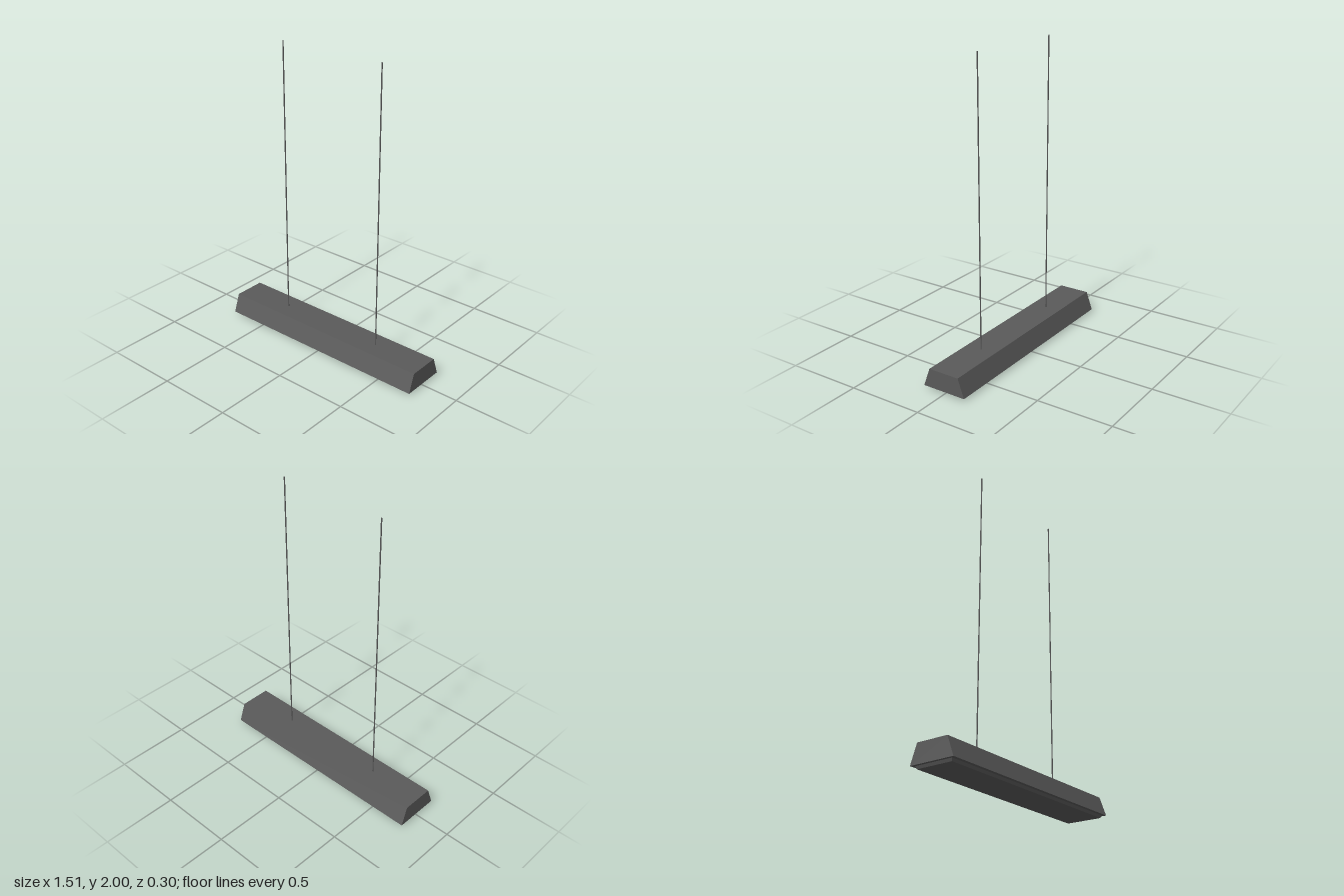
import * as THREE from 'three';

// Extrudes a z/y outline along x, centred on x = 0
function prism(points, length) {
  const shape = new THREE.Shape(points.map(([z, y]) => new THREE.Vector2(-z, y)));
  const geometry = new THREE.ExtrudeGeometry(shape, { depth: length, bevelEnabled: false });
  geometry.translate(0, 0, -length / 2);
  geometry.rotateY(Math.PI / 2);
  return geometry;
}

// Box whose underside is drawn in by an inset on all four sides
function taperedPanel(width, height, depth, inset) {
  const geometry = new THREE.BoxGeometry(width, height, depth);
  const p = geometry.attributes.position;
  for (let i = 0; i < p.count; i++) {
    if (p.getY(i) < 0) {
      p.setX(i, p.getX(i) - Math.sign(p.getX(i)) * inset);
      p.setZ(i, p.getZ(i) - Math.sign(p.getZ(i)) * inset);
    }
  }
  geometry.computeVertexNormals();
  return geometry;
}

export function createModel() {
  const group = new THREE.Group();
  const metal = new THREE.MeshStandardMaterial({ color: 0x5a5a5a });
  metal.name = 'darkGreyMetal';

  const add = (name, geometry, x, y, z) => {
    const mesh = new THREE.Mesh(geometry, metal);
    mesh.name = name;
    mesh.position.set(x, y, z);
    group.add(mesh);
  };

  // Long lamp housing with sloping front and back
  add('housing', prism([[-0.15, 0.017], [-0.106, 0.14], [0.106, 0.14], [0.15, 0.017]], 1.51), 0, 0, 0);

  // Shallow light panel below the housing
  add('lightPanel', taperedPanel(1.475, 0.017, 0.256, 0.007), 0, 0.0085, 0);

  // Two thin suspension rods
  for (const side of [-1, 1]) {
    const name = side < 0 ? 'rightSuspensionRod' : 'leftSuspensionRod';
    add(name, new THREE.CylinderGeometry(0.004, 0.004, 1.86, 8), side * 0.377, 1.07, 0);
  }
  return group;
}
